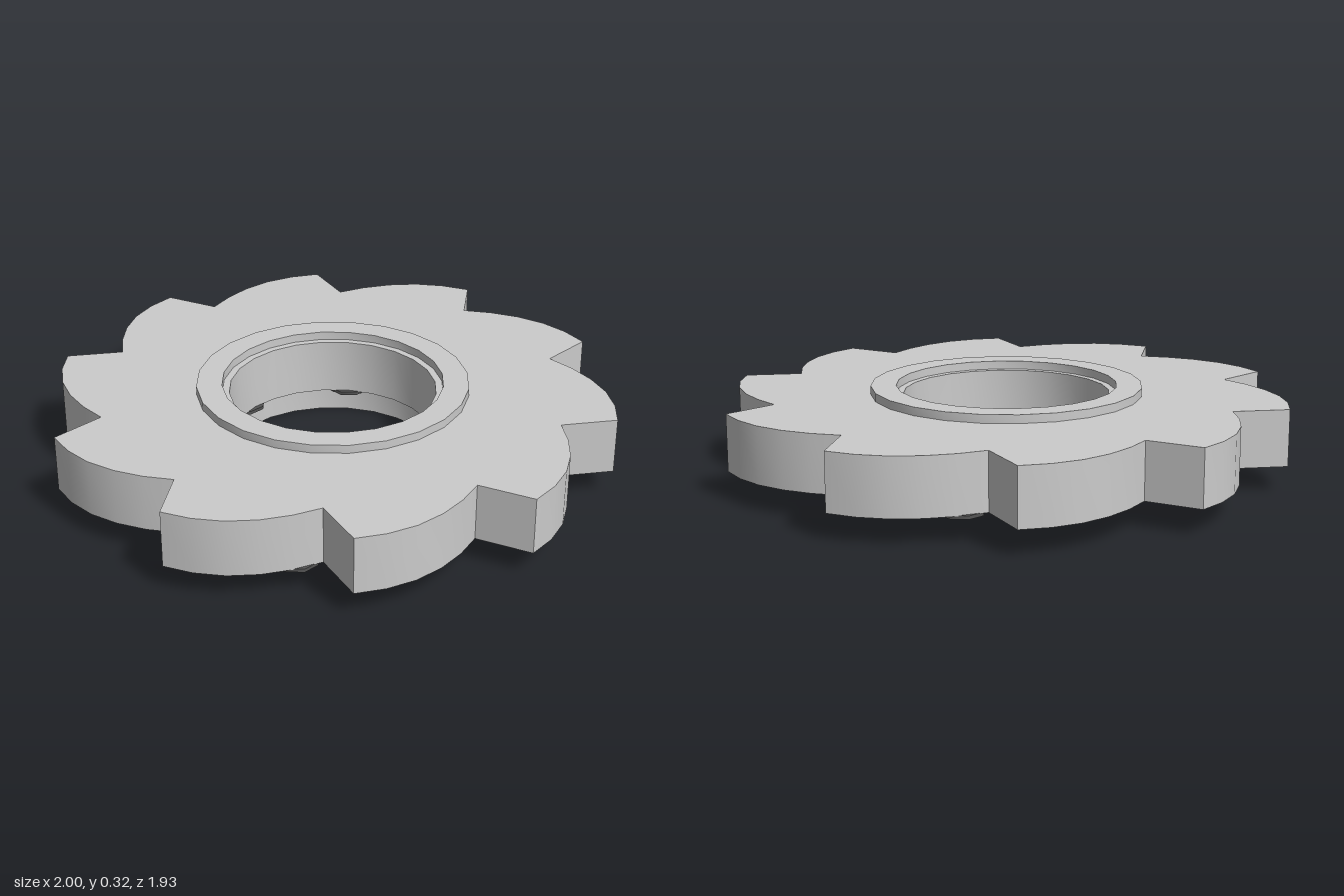
import * as THREE from 'three';
import { toCreasedNormals } from 'three/addons/utils/BufferGeometryUtils.js';

const TEETH = 10, SEGMENTS = 24;
const metal = new THREE.MeshStandardMaterial({ color: 0xcccccc });
const dark = new THREE.MeshStandardMaterial({ color: 0x555555 });

const polar = (r, a) => new THREE.Vector2(r * Math.cos(a), r * Math.sin(a));

function circlePoints(r) {
  return Array.from({ length: SEGMENTS }, (_, i) => polar(r, (i / SEGMENTS) * Math.PI * 2));
}

// Upright slab with a round bore, from an outline in x and z
function boredSlab(name, outline, bore, bottom, top) {
  const shape = new THREE.Shape(outline);
  shape.holes.push(new THREE.Path(circlePoints(bore).reverse()));
  const geo = new THREE.ExtrudeGeometry(shape, { depth: top - bottom, bevelEnabled: false });
  geo.rotateX(Math.PI / 2).translate(0, top, 0);
  const mesh = new THREE.Mesh(toCreasedNormals(geo, 0.5), metal);
  mesh.name = name;
  return mesh;
}

// Ratchet outline: a steep face at each tip, then a bulging back to the next tip
function toothOutline() {
  const back = [0.822, 0.873, 0.92, 0.959, 0.985, 1];
  const pitch = (Math.PI * 2) / TEETH, valley = 0.1;
  const points = [];
  for (let i = 0; i < TEETH; i++) {
    back.forEach((r, j) => {
      const t = j / (back.length - 1);
      points.push(polar(r, i * pitch + valley + t * (pitch - valley)));
    });
  }
  return points;
}

// Six small octagonal pads on a circle under the disc
function padRing(name, radius) {
  const ring = new THREE.Group();
  ring.name = name;
  const geo = new THREE.CylinderGeometry(0.078, 0.078, 0.012, 8);
  for (let i = 0; i < 6; i++) {
    const p = polar(radius, (i * Math.PI) / 3);
    const pad = new THREE.Mesh(geo, dark);
    pad.name = 'pad';
    pad.position.set(p.x, 0.086, p.y);
    ring.add(pad);
  }
  return ring;
}

export function createModel() {
  const model = new THREE.Group();
  model.name = 'toothedCutterDisc';
  model.add(
    boredSlab('toothedDisc', toothOutline(), 0.365, 0.09, 0.29),
    boredSlab('upperCollar', circlePoints(0.48), 0.39, 0.29, 0.32),
    boredSlab('lowerCollar', circlePoints(0.5), 0.392, 0, 0.09),
    padRing('outerPads', 0.8),
    padRing('innerPads', 0.42)
  );
  return model;
}
